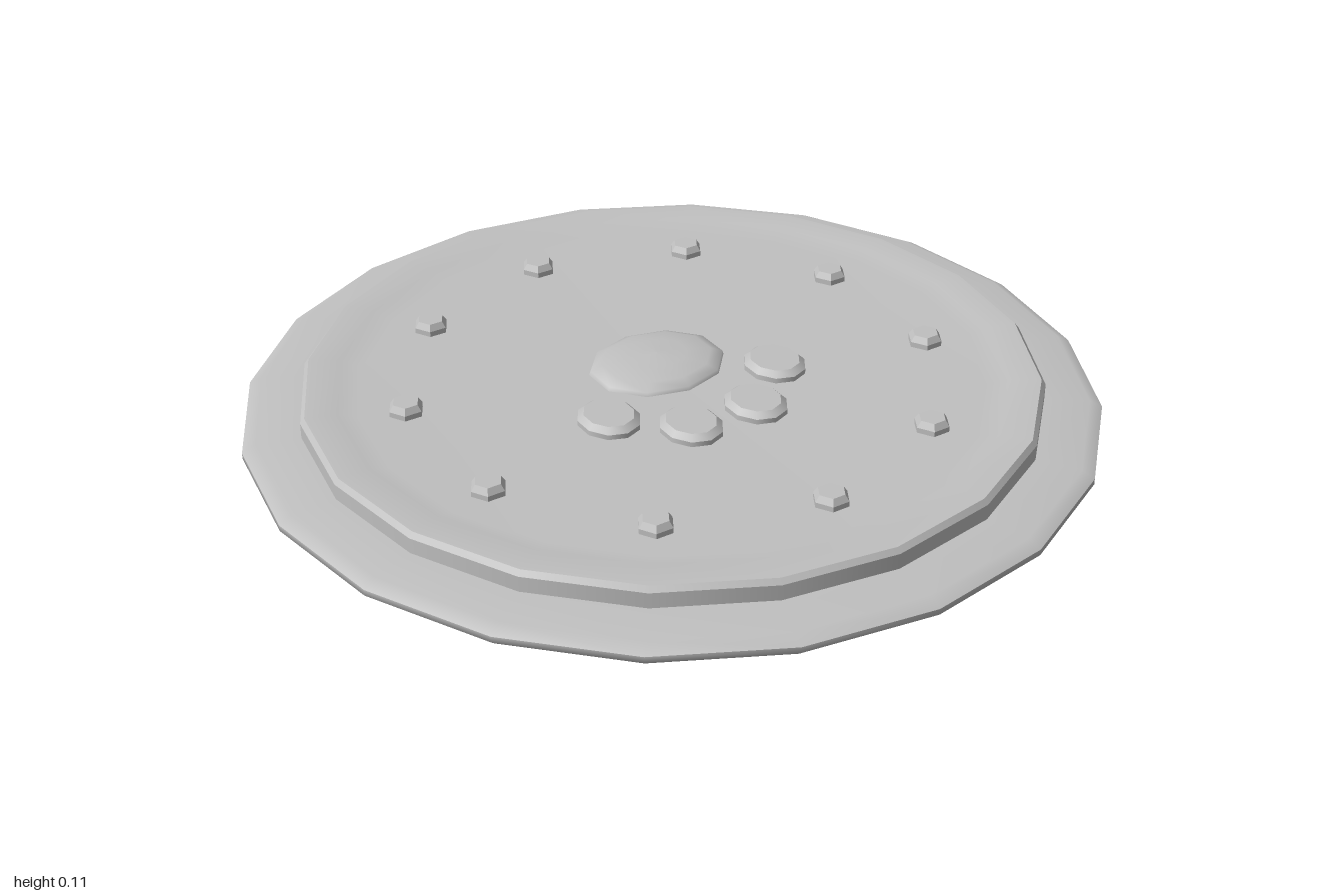
import * as THREE from 'three';

const SIDES = 20;

export function createModel() {
  const model = new THREE.Group();
  model.name = 'roundHatch';
  const metal = new THREE.MeshStandardMaterial({ color: 0xc0c0c0 });
  metal.name = 'light grey metal';
  const green = new THREE.MeshStandardMaterial({ color: 0xa3c298 });
  green.name = 'green backing';

  // Turns a profile of [radius, y] points, smooth along its length
  const turn = (points, sides) =>
    new THREE.LatheGeometry(points.map(([r, y]) => new THREE.Vector2(r, y)), sides);
  const add = (name, geometry, material, parent = model) => {
    const mesh = new THREE.Mesh(geometry, material);
    mesh.name = name;
    parent.add(mesh);
    return mesh;
  };

  // Base rim: recess wall, underside, edge and sloping top
  add('recessWall', turn([[0.845, 0.012], [0.845, 0]], SIDES), metal);
  add('rimUnderside', turn([[0.845, 0], [0.985, 0]], SIDES), metal);
  add('rimEdge', turn([[0.985, 0], [1, 0.013], [1, 0.027]], SIDES), metal);
  add('rimTop', turn([[1, 0.027], [0.97, 0.043], [0.86, 0.046]], SIDES), metal);

  // Raised plate: wall, bevel and shallow dished face
  add('plateWall', turn([[0.865, 0.04], [0.865, 0.083]], SIDES), metal);
  add('plateBevel', turn([[0.865, 0.083], [0.855, 0.095]], SIDES), metal);
  add('plateFace', turn([[0.855, 0.095], [0.78, 0.094], [0.73, 0.078], [0, 0.073]], SIDES), metal);

  // Green backing inside the recess
  add('backing', turn([[0, 0.012], [0.845, 0.012]], SIDES), green);

  // Ring of ten chamfered hexagonal bolts
  const bolts = new THREE.Group();
  bolts.name = 'bolts';
  model.add(bolts);
  const boltParts = [
    turn([[0.042, 0.07], [0.042, 0.09]], 6),
    turn([[0.042, 0.09], [0.032, 0.105]], 6),
    turn([[0.032, 0.105], [0, 0.105]], 6),
  ].map((g) => g.rotateY(Math.PI / 6).toNonIndexed());
  boltParts.forEach((g) => g.computeVertexNormals());
  for (let i = 0; i < 10; i++) {
    const a = (i * Math.PI) / 5;
    const bolt = new THREE.Group();
    bolt.name = 'bolt';
    bolt.position.set(0.625 * Math.sin(a), 0, 0.625 * Math.cos(a));
    ['boltSide', 'boltChamfer', 'boltTop'].forEach((n, k) => add(n, boltParts[k], metal, bolt));
    bolts.add(bolt);
  }

  // Large low dome in the middle
  const dome = add('centreDome', turn(
    [[1, 0.07], [0.97, 0.083], [0.8, 0.095], [0.45, 0.104], [0, 0.107]], 10), metal);
  dome.scale.set(0.17, 1, 0.142);
  dome.position.set(0.002, 0, -0.07);

  // Four small oval pads in an arc in front of the dome
  for (const side of [-1, 1]) {
    for (const [x, z] of [[0.228, 0.09], [0.088, 0.215]]) {
      const pad = new THREE.Group();
      pad.name = 'ovalPad';
      add('padSide', turn([[0.071, 0.07], [0.071, 0.087]], 10), metal, pad);
      add('padChamfer', turn([[0.071, 0.087], [0.057, 0.1]], 10), metal, pad);
      add('padTop', turn([[0.057, 0.1], [0, 0.1]], 10), metal, pad);
      pad.scale.z = 1.14;
      pad.position.set(side * x, 0, z);
      model.add(pad);
    }
  }

  return model;
}
